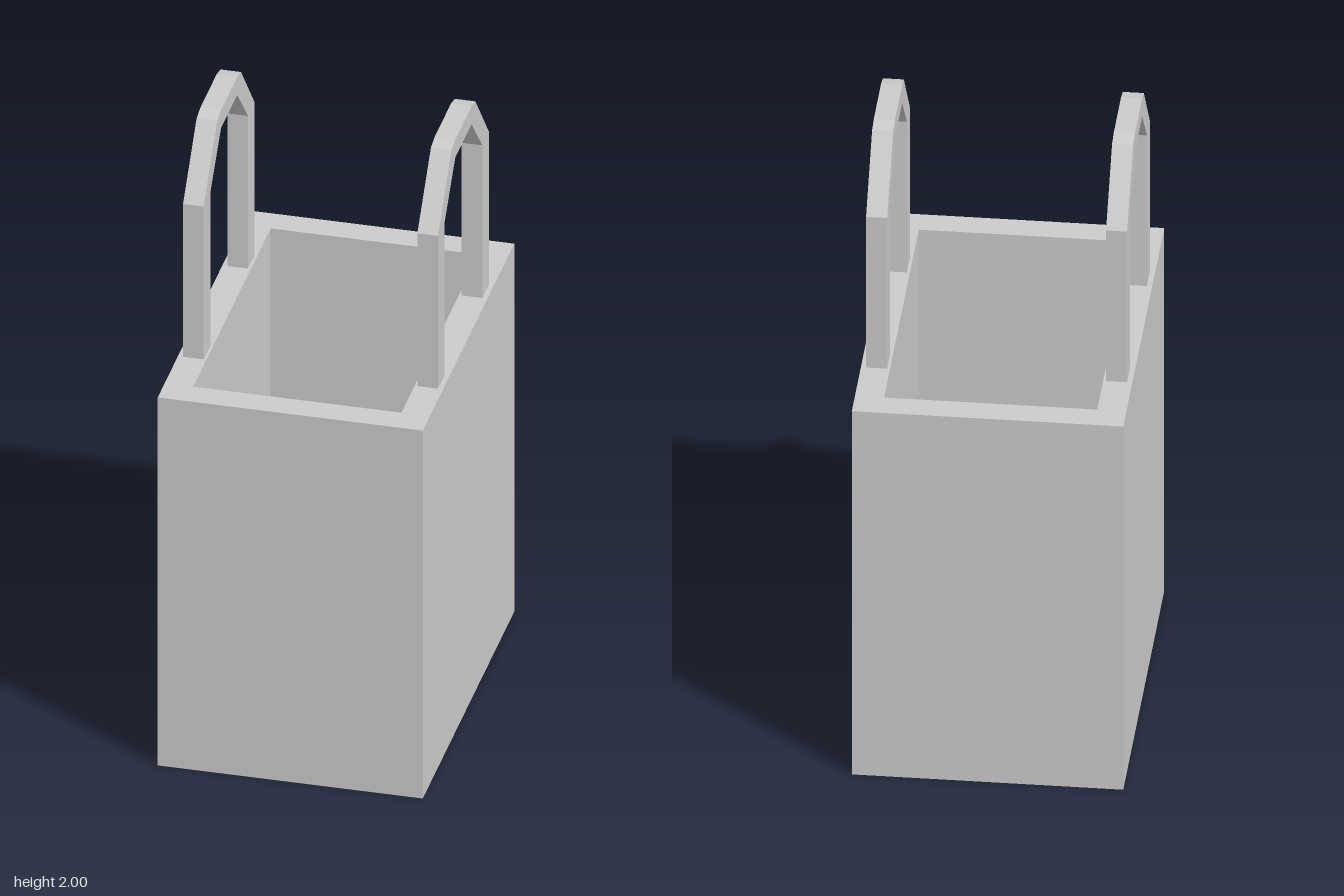
import * as THREE from 'three';

const WIDTH = 0.81, DEPTH = 1.13, HEIGHT = 1.265, WALL = 0.087;

// Clockwise rectangle corners centred on the origin
function rectangle(w, d) {
  return [[-w, -d], [w, -d], [w, d], [-w, d]].map(([x, y]) => new THREE.Vector2(x / 2, y / 2));
}

export function createModel() {
  const bag = new THREE.Group();
  bag.name = 'toteBag';
  const gray = new THREE.MeshStandardMaterial({ color: 0xcccccc, flatShading: true });
  gray.name = 'light gray';

  function add(name, geometry, x = 0, y = 0, z = 0) {
    const mesh = new THREE.Mesh(geometry, gray);
    mesh.name = name;
    mesh.position.set(x, y, z);
    bag.add(mesh);
  }

  // Thick walls: a rectangular ring raised to the rim
  const innerW = WIDTH - 2 * WALL, innerD = DEPTH - 2 * WALL;
  const ring = new THREE.Shape(rectangle(WIDTH, DEPTH));
  ring.holes.push(new THREE.Path(rectangle(innerW, innerD).reverse()));
  const walls = new THREE.ExtrudeGeometry(ring, { depth: HEIGHT, bevelEnabled: false });
  walls.rotateX(-Math.PI / 2);
  add('walls', walls);

  // Floor closing the ring
  add('floor', new THREE.BoxGeometry(innerW, WALL, innerD), 0, WALL / 2, 0);

  // Handle outline: outer edge up one half, inner edge back down, then mirrored
  const outer = [[0.315, HEIGHT], [0.315, 1.79], [0.147, 1.99], [0.1, 2]];
  const inner = [[0.233, HEIGHT], [0.233, 1.79], [0.1, 1.938]];
  const mirror = (points) => points.map(([z, y]) => [-z, y]).reverse();
  const outline = [...outer, ...mirror(outer), ...mirror(inner).reverse(), ...[...inner].reverse()];
  const strap = new THREE.Shape(outline.map(([z, y]) => new THREE.Vector2(z, y)));
  const thickness = 0.063;
  const handle = new THREE.ExtrudeGeometry(strap, { depth: thickness, bevelEnabled: false });
  handle.translate(0, 0, -thickness / 2);
  handle.rotateY(Math.PI / 2);
  add('leftHandle', handle, 0.358);
  add('rightHandle', handle, -0.358);

  return bag;
}
